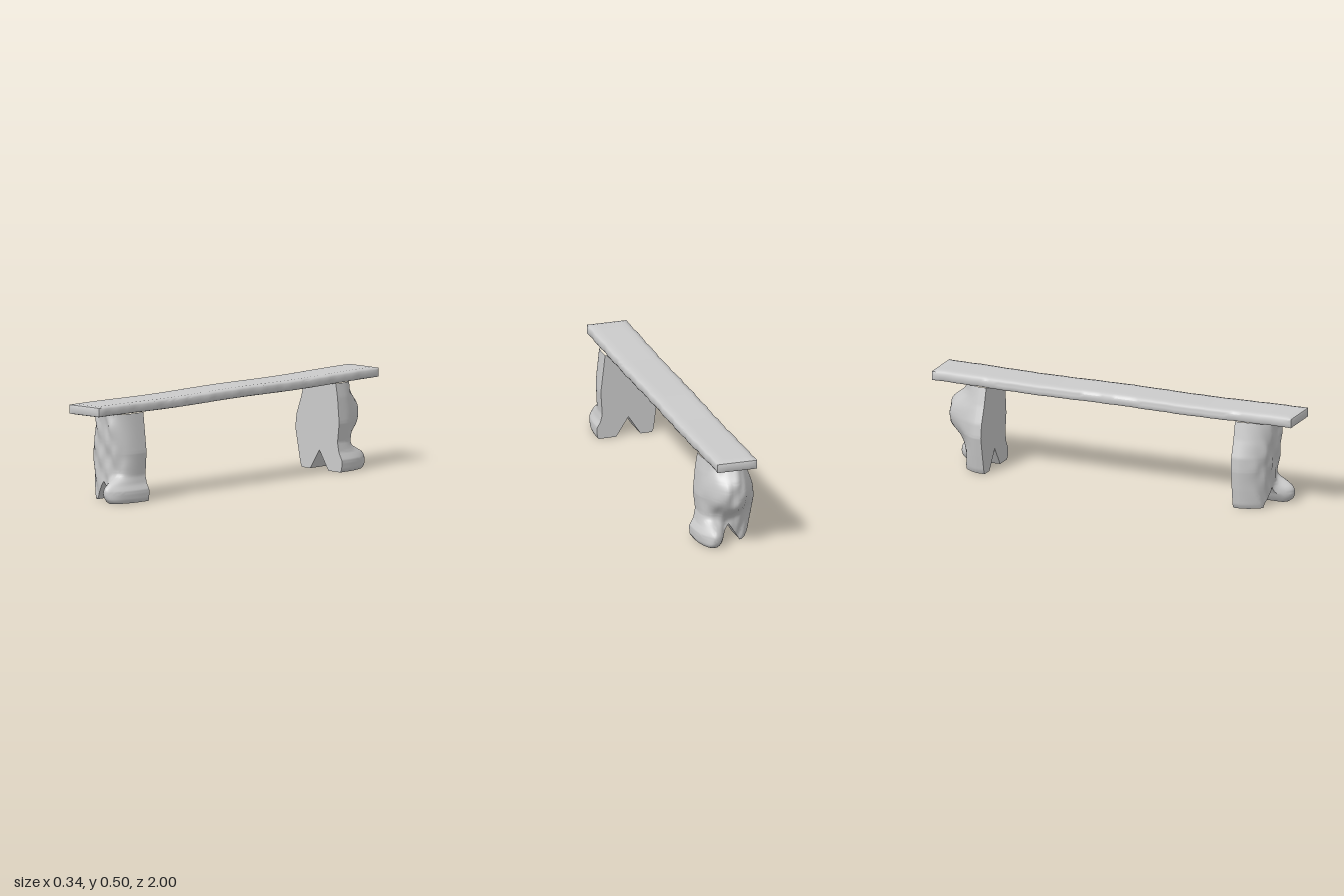
import * as THREE from 'three';
import { toCreasedNormals } from 'three/addons/utils/BufferGeometryUtils.js';

const material = new THREE.MeshStandardMaterial({ color: 0xcccccc });
const TOP = 0.45, ROWS = 54, COLS = 18, FACE = 0.69;

// Linear lookup in a short list of [y, value] pairs
function lookup(table, y) {
  for (let i = 1; i < table.length; i++) {
    const [y0, v0] = table[i - 1], [y1, v1] = table[i];
    if (y <= y1) return THREE.MathUtils.lerp(v0, v1, (y - y0) / (y1 - y0));
  }
  return table[table.length - 1][1];
}

const bump = (x, y, cx, cy, rx, ry) =>
  Math.exp(-Math.pow(((x - cx) / rx) ** 2 + ((y - cy) / ry) ** 2, 2));

// Vertical bark grooves
const bark = (x, y) =>
  0.004 * Math.sin(x * 95 + 2 * Math.sin(y * 14)) * Math.sin(y * 23 + x * 30) +
  0.003 * Math.sin(x * 60 + y * 41);

// Half-log leg with a flat inner face, a barked outer face and a V notch between two feet
function makeLeg(name, dir, shape) {
  const pos = [];
  const notch = (y) => Math.max(0, 0.065 * (1 - y / 0.1));

  for (const s of [-1, 1]) {
    const ringAt = (y) => {
      const inner = notch(y), outer = lookup(s > 0 ? shape.plus : shape.minus, y);
      const front = [], back = [];
      for (let i = 0; i <= COLS; i++) {
        const w = inner + (outer - inner) * Math.sin((i / COLS) * Math.PI / 2);
        const x = s * w, t = Math.min(1, w / outer);
        const round = s > 0 ? Math.pow(1 - t ** 4, 0.4) : Math.pow(1 - t ** 2.4, 0.65);
        const depth = 0.03 + (shape.depth(x, y) - 0.03) * round + bark(x, y) * round;
        front.push([x, y, dir * (FACE + depth)]);
        back.push([x, y, dir * FACE]);
      }
      return front.concat(back.reverse());
    };
    const quad = (a, b, c, d) => {
      const order = s * dir > 0 ? [a, b, c, a, c, d] : [a, c, b, a, d, c];
      for (const p of order) pos.push(...p);
    };

    const rings = [];
    for (let j = 0; j <= ROWS; j++) rings.push(ringAt((j / ROWS) * TOP));
    const n = rings[0].length;
    for (let j = 0; j < ROWS; j++) {
      const open = notch((j / ROWS) * TOP) < 1e-6;
      for (let k = 0; k < n; k++) {
        if (k === n - 1 && open) continue; // the halves join above the notch
        const m = (k + 1) % n;
        quad(rings[j][k], rings[j][m], rings[j + 1][m], rings[j + 1][k]);
      }
    }
    // Sole of the foot
    const r = rings[0];
    for (let i = 0; i < COLS; i++) quad(r[i], r[n - 1 - i], r[n - 2 - i], r[i + 1]);
  }

  const geometry = new THREE.BufferGeometry();
  geometry.setAttribute('position', new THREE.Float32BufferAttribute(pos, 3));
  const mesh = new THREE.Mesh(toCreasedNormals(geometry, 0.75), material);
  mesh.name = name;
  return mesh;
}

// Plank with slightly uneven, softened edges
function makePlank() {
  const W = 0.22, H = 0.055, L = 2;
  const geometry = new THREE.BoxGeometry(W, H, L, 8, 4, 80);
  const p = geometry.attributes.position, v = new THREE.Vector3();
  for (let i = 0; i < p.count; i++) {
    v.fromBufferAttribute(p, i);
    const ex = Math.abs(v.x) > W / 2 - 1e-4, ey = Math.abs(v.y) > H / 2 - 1e-4;
    const ez = Math.abs(v.z) > L / 2 - 1e-4;
    const z = v.z;
    if (ex && (ey || ez)) v.x -= Math.sign(v.x) * 0.005;
    if (ey && (ex || ez)) v.y -= Math.sign(v.y) * 0.005;
    if (ez && (ex || ey)) v.z -= Math.sign(v.z) * 0.004;
    if (ex) v.x += 0.002 * Math.sin(z * 31 + Math.sign(v.x)) + 0.0015 * Math.sin(z * 67);
    v.y += 0.002 * Math.cos(z * 7) - 0.003 * (1 - z * z) + v.x * 0.015;
    p.setXYZ(i, v.x, v.y, v.z);
  }
  const mesh = new THREE.Mesh(toCreasedNormals(geometry, 0.9), material);
  mesh.name = 'seatPlank';
  mesh.position.set(0.01, 0.474, 0);
  return mesh;
}

export function createModel() {
  const group = new THREE.Group();
  group.name = 'bench';
  group.add(makePlank());

  // Front leg: even trunk with one long foot on the +x side
  group.add(makeLeg('frontLeg', 1, {
    minus: [[0, 0.125], [0.02, 0.135], [0.1, 0.145], [0.2, 0.155], [0.27, 0.152], [0.36, 0.125], [0.45, 0.105]],
    plus: [[0, 0.16], [0.015, 0.167], [0.06, 0.168], [0.09, 0.15], [0.13, 0.14], [0.25, 0.148], [0.38, 0.133], [0.45, 0.125]],
    depth: (x, y) => 0.155 + 0.025 * (y / TOP) ** 2 + 0.09 * bump(x, y, 0.115, 0.05, 0.075, 0.07)
      + 0.012 * bump(x, y, 0.08, 0.33, 0.04, 0.09),
  }));

  // Back leg: burl in the middle and a long foot on the +x side
  group.add(makeLeg('backLeg', -1, {
    minus: [[0, 0.125], [0.02, 0.135], [0.1, 0.152], [0.2, 0.172], [0.27, 0.163], [0.36, 0.13], [0.45, 0.105]],
    plus: [[0, 0.15], [0.015, 0.16], [0.06, 0.162], [0.1, 0.14], [0.15, 0.13], [0.25, 0.142], [0.38, 0.13], [0.45, 0.118]],
    depth: (x, y) => 0.14 + 0.095 * bump(x, y, -0.01, 0.28, 0.11, 0.115)
      + 0.085 * bump(x, y, 0.11, 0.045, 0.075, 0.065),
  }));

  return group;
}
